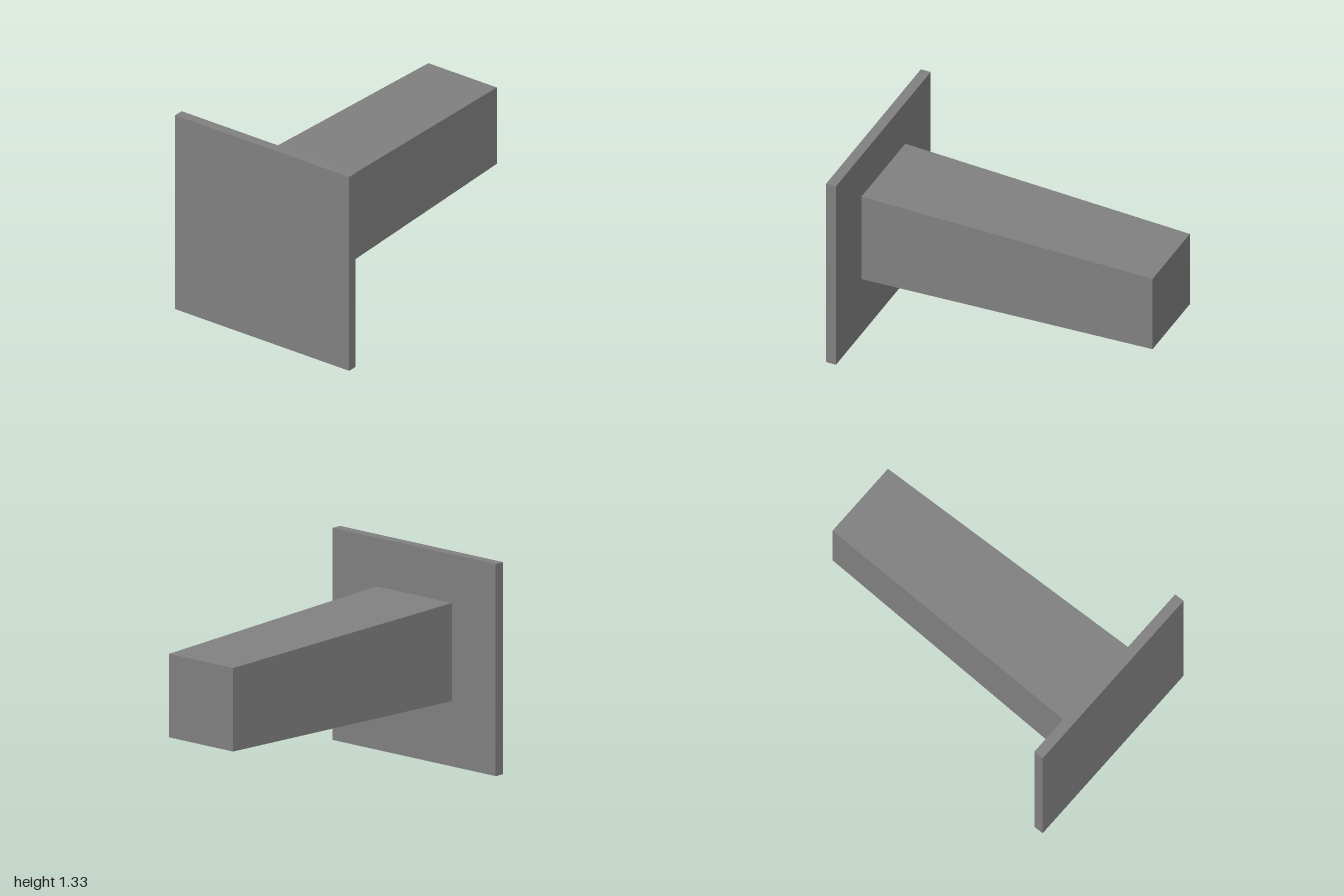
import * as THREE from 'three';

export function createModel() {
  const group = new THREE.Group();
  const grey = new THREE.MeshStandardMaterial({ color: 0x808080 });
  grey.name = 'grey';

  const plateThickness = 0.066, plateSize = 1.326;
  const postLength = 2 - plateThickness, postBase = 0.613, postTip = 0.522;

  // Square mounting plate, standing upright
  const plate = new THREE.Mesh(new THREE.BoxGeometry(plateThickness, plateSize, plateSize), grey);
  plate.name = 'mountingPlate';
  plate.position.set(-1 + plateThickness / 2, plateSize / 2, 0);
  group.add(plate);

  // Square post, tapering evenly towards its free end
  const postGeometry = new THREE.BoxGeometry(postLength, postBase, postBase);
  const corners = postGeometry.attributes.position;
  for (let i = 0; i < corners.count; i++) {
    if (corners.getX(i) > 0) {
      corners.setY(i, corners.getY(i) * postTip / postBase);
      corners.setZ(i, corners.getZ(i) * postTip / postBase);
    }
  }
  postGeometry.computeVertexNormals();
  const post = new THREE.Mesh(postGeometry, grey);
  post.name = 'taperedPost';
  post.position.set(plateThickness / 2, 0.715, 0);
  group.add(post);

  return group;
}
